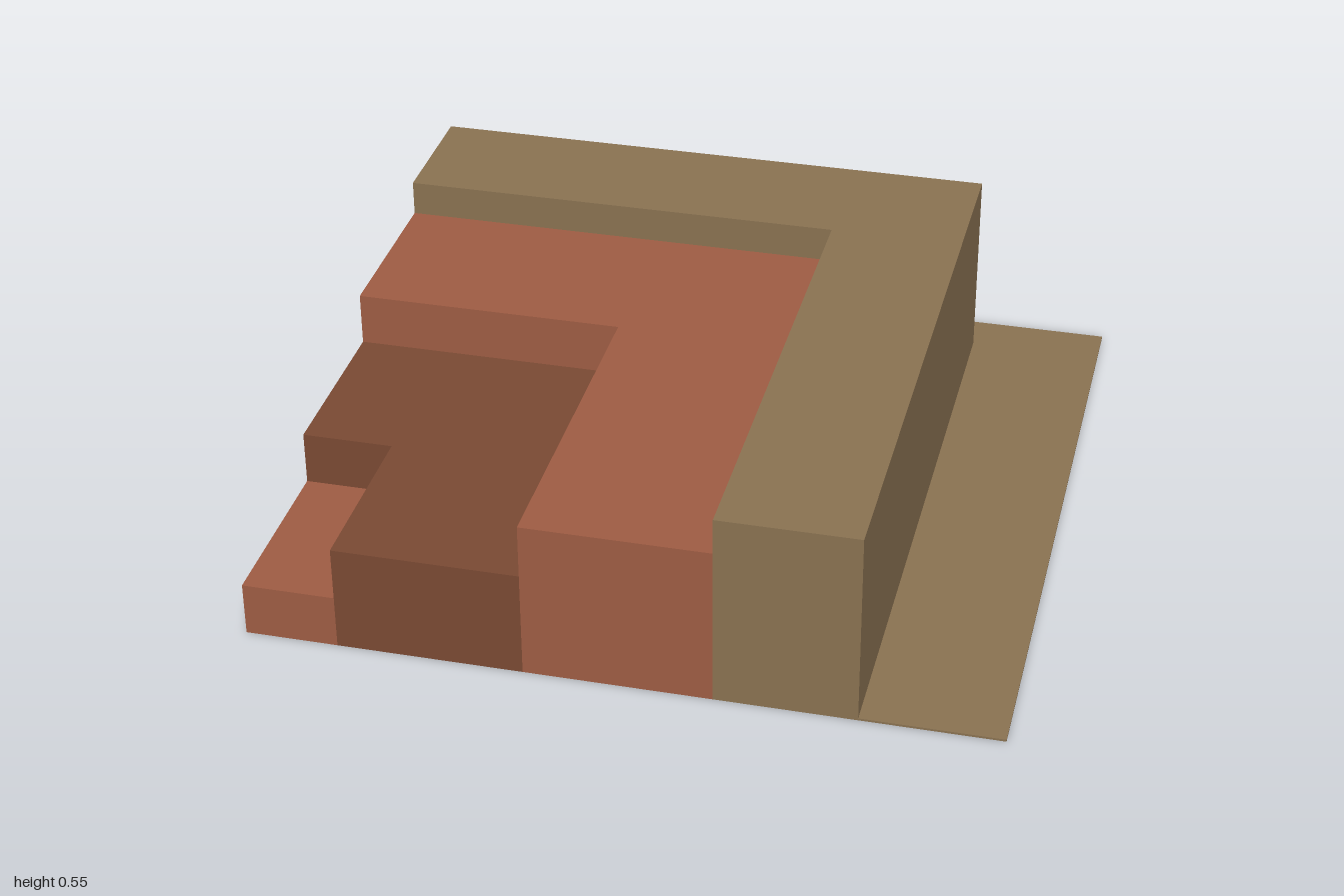
import * as THREE from 'three';

const paint = (name, color) => {
  const m = new THREE.MeshStandardMaterial({ color });
  m.name = name;
  return m;
};

// Each tier shares the front corner (x = -1, z = 1) and reaches to x, back to z.
// Given an inner corner it becomes an L that wraps the next tier.
function tier(name, height, [x, z], inner, material) {
  const pts = inner
    ? [[-1, -inner[1]], [inner[0], -inner[1]], [inner[0], -1], [x, -1], [x, -z], [-1, -z]]
    : [[-1, -1], [x, -1], [x, -z], [-1, -z]];
  const shape = new THREE.Shape(pts.map(([a, b]) => new THREE.Vector2(a, b)));
  const geometry = new THREE.ExtrudeGeometry(shape, { depth: height, bevelEnabled: false });
  geometry.rotateX(-Math.PI / 2);
  const mesh = new THREE.Mesh(geometry, material);
  mesh.name = name;
  return mesh;
}

export function createModel() {
  const tan = paint('tan stone', 0x8b7352);
  const red = paint('red clay', 0xa05d44);
  const brown = paint('dark brown clay', 0x7b4a34);

  // Outer to inner: name, height, far corner, material
  const tiers = [
    ['groundFlange', 0.006, [1, -1], tan],
    ['outerWall', 0.55, [0.625, -0.875], tan],
    ['upperStep', 0.45, [0.25, -0.5], red],
    ['middleStep', 0.3, [-0.25, 0], brown],
    ['lowerStep', 0.15, [-0.75, 0.5], red],
  ];

  const model = new THREE.Group();
  model.name = 'corner steps';
  tiers.forEach(([name, height, corner, material], i) => {
    model.add(tier(name, height, corner, tiers[i + 1]?.[2], material));
  });
  return model;
}
